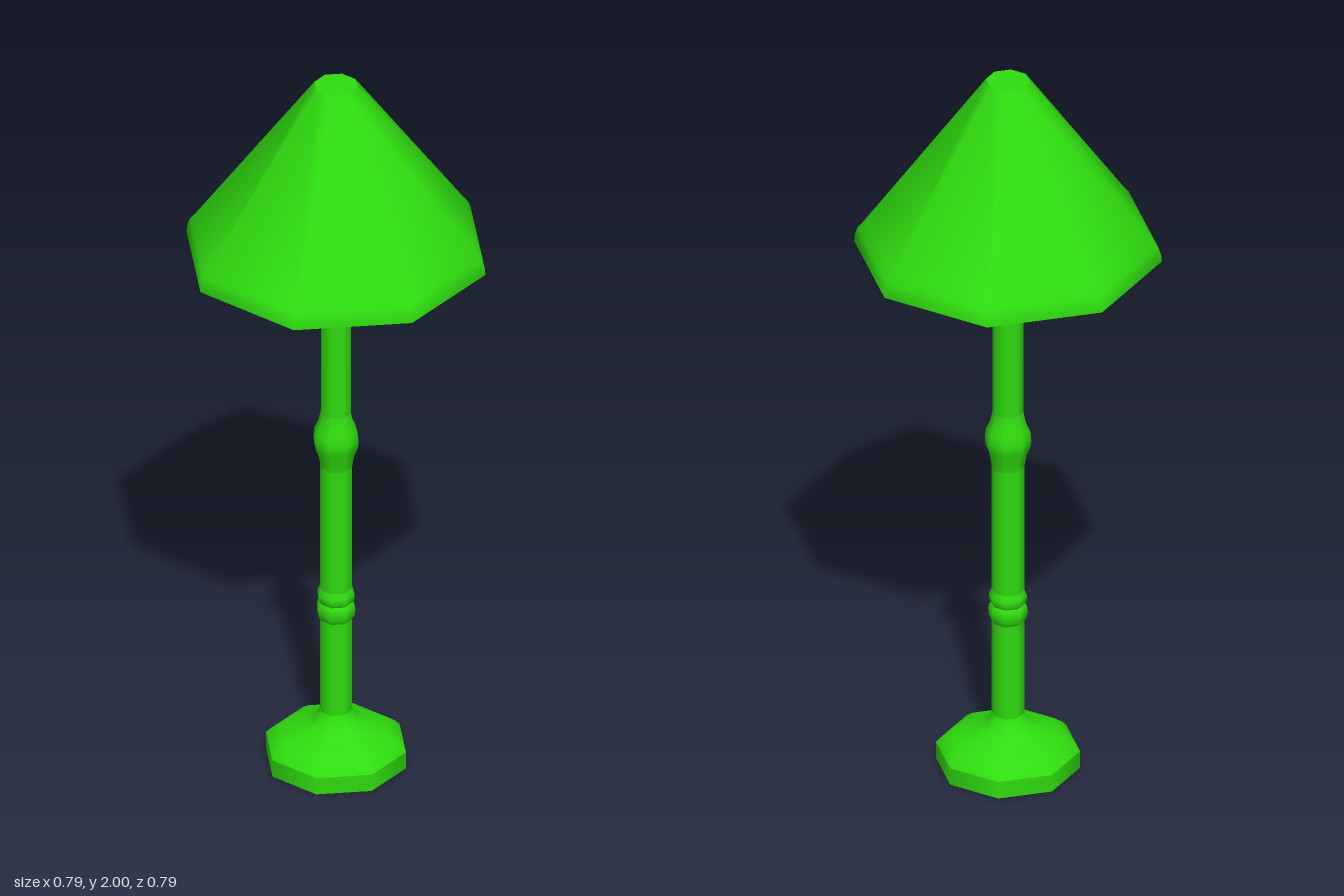
import * as THREE from 'three';

const SIDES = 8;
const material = new THREE.MeshStandardMaterial({ color: 0x2fdc0f });

// Turned octagonal part; each profile is smooth, with sharp edges between profiles.
function turned(name, ...profiles) {
  const group = new THREE.Group();
  group.name = name;
  profiles.forEach((profile, i) => {
    const points = profile.map(([r, y]) => new THREE.Vector2(r, y));
    const mesh = new THREE.Mesh(new THREE.LatheGeometry(points, SIDES), material);
    mesh.name = `${name}Surface${i + 1}`;
    group.add(mesh);
  });
  return group;
}

export function createModel() {
  const lamp = new THREE.Group();
  lamp.name = 'floorLamp';

  // Foot: flat underside, upright rim and a curved top sweeping into the pole
  lamp.add(turned('base',
    [[0, 0], [0.185, 0]],
    [[0.185, 0], [0.185, 0.048]],
    [[0.185, 0.048], [0.172, 0.062], [0.147, 0.08], [0.11, 0.093], [0.075, 0.11], [0.052, 0.128], [0.042, 0.15]],
  ));

  // Pole: double bead low down, a rounded knob halfway, a flared socket inside the shade
  lamp.add(turned('pole',
    [[0.042, 0.15], [0.042, 0.42]],
    [[0.042, 0.42], [0.05, 0.433], [0.051, 0.45], [0.049, 0.463], [0.043, 0.47]],
    [[0.043, 0.47], [0.049, 0.48], [0.049, 0.495], [0.042, 0.51]],
    [[0.042, 0.51], [0.042, 0.87]],
    [[0.042, 0.87], [0.048, 0.905], [0.058, 0.93], [0.06, 0.95], [0.057, 0.975], [0.046, 1.0], [0.04, 1.03]],
    [[0.04, 1.03], [0.04, 1.6]],
    [[0.04, 1.6], [0.046, 1.65], [0.053, 1.72], [0.053, 1.93]],
  ));

  // Shade: sloped outside with a turned-in lip, flat cap, thin rim and hollow inside
  lamp.add(turned('shade',
    [[0.395, 1.5], [0.393, 1.52], [0.386, 1.54], [0.37, 1.56], [0.057, 2]],
    [[0.057, 2], [0, 2]],
    [[0, 1.93], [0.085, 1.93], [0.358, 1.55], [0.38, 1.5]],
    [[0.38, 1.5], [0.395, 1.5]],
  ));

  return lamp;
}
